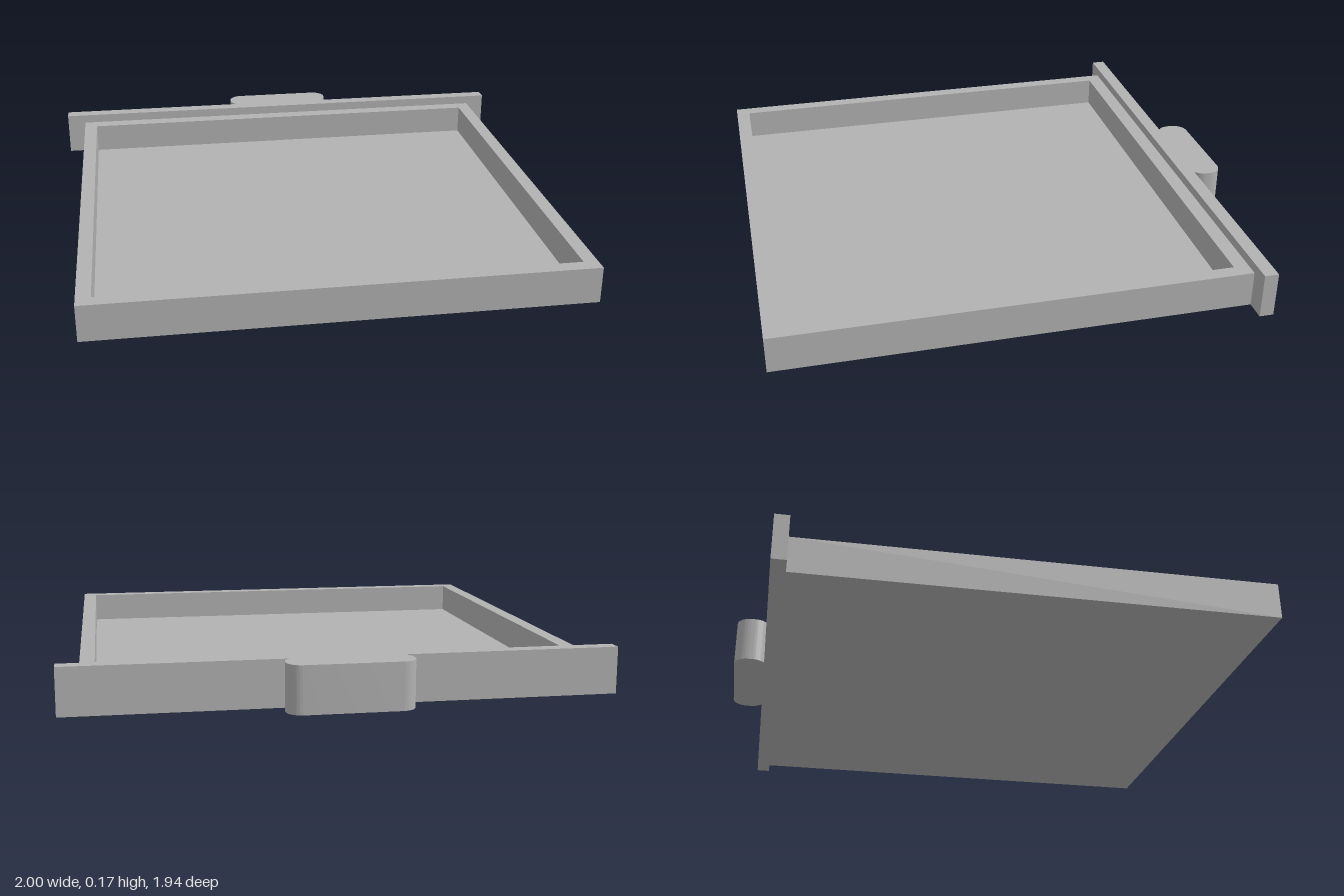
import * as THREE from 'three';
import { toCreasedNormals } from 'three/addons/utils/BufferGeometryUtils.js';

// Rectangle in plan; plan y is -z
function rect(Type, x, zBack, zFront) {
  const s = new Type();
  s.moveTo(-x, -zFront);
  s.lineTo(x, -zFront);
  s.lineTo(x, -zBack);
  s.lineTo(-x, -zBack);
  s.closePath();
  return s;
}

// Raise a plan shape to a given height
function raise(shape, height) {
  const g = new THREE.ExtrudeGeometry(shape, { depth: height, bevelEnabled: false, curveSegments: 12 });
  g.rotateX(-Math.PI / 2);
  return toCreasedNormals(g, 0.6);
}

export function createModel() {
  const group = new THREE.Group();
  const grey = new THREE.MeshStandardMaterial({ color: 0xb2b2b2 });
  grey.name = 'grey';

  const add = (name, geometry) => {
    const mesh = new THREE.Mesh(geometry, grey);
    mesh.name = name;
    group.add(mesh);
  };

  const back = -0.803, panelBack = -0.857, handleBack = -0.972;
  const panelHeight = 0.174;

  // Tray walls around a thin floor
  const walls = rect(THREE.Shape, 0.922, back, 0.968);
  walls.holes.push(rect(THREE.Path, 0.868, -0.745, 0.913));
  add('trayWalls', raise(walls, 0.138));
  add('trayFloor', raise(rect(THREE.Shape, 0.868, -0.745, 0.913), 0.02));

  // Wide end panel, taller than the tray
  add('endPanel', raise(rect(THREE.Shape, 1, panelBack, back), panelHeight));

  // Pull handle with rounded corners, narrowing where it meets the panel
  const r = 0.055, cx = 0.228 - r;
  const nearY = -panelBack + 0.046, farY = -handleBack - r;
  const a = Math.asin(0.046 / r);
  const handle = new THREE.Shape();
  handle.absarc(cx, nearY, r, -a, 0, false);
  handle.absarc(cx, farY, r, 0, Math.PI / 2, false);
  handle.absarc(-cx, farY, r, Math.PI / 2, Math.PI, false);
  handle.absarc(-cx, nearY, r, Math.PI, Math.PI + a, false);
  handle.closePath();
  add('handle', raise(handle, panelHeight));

  return group;
}
